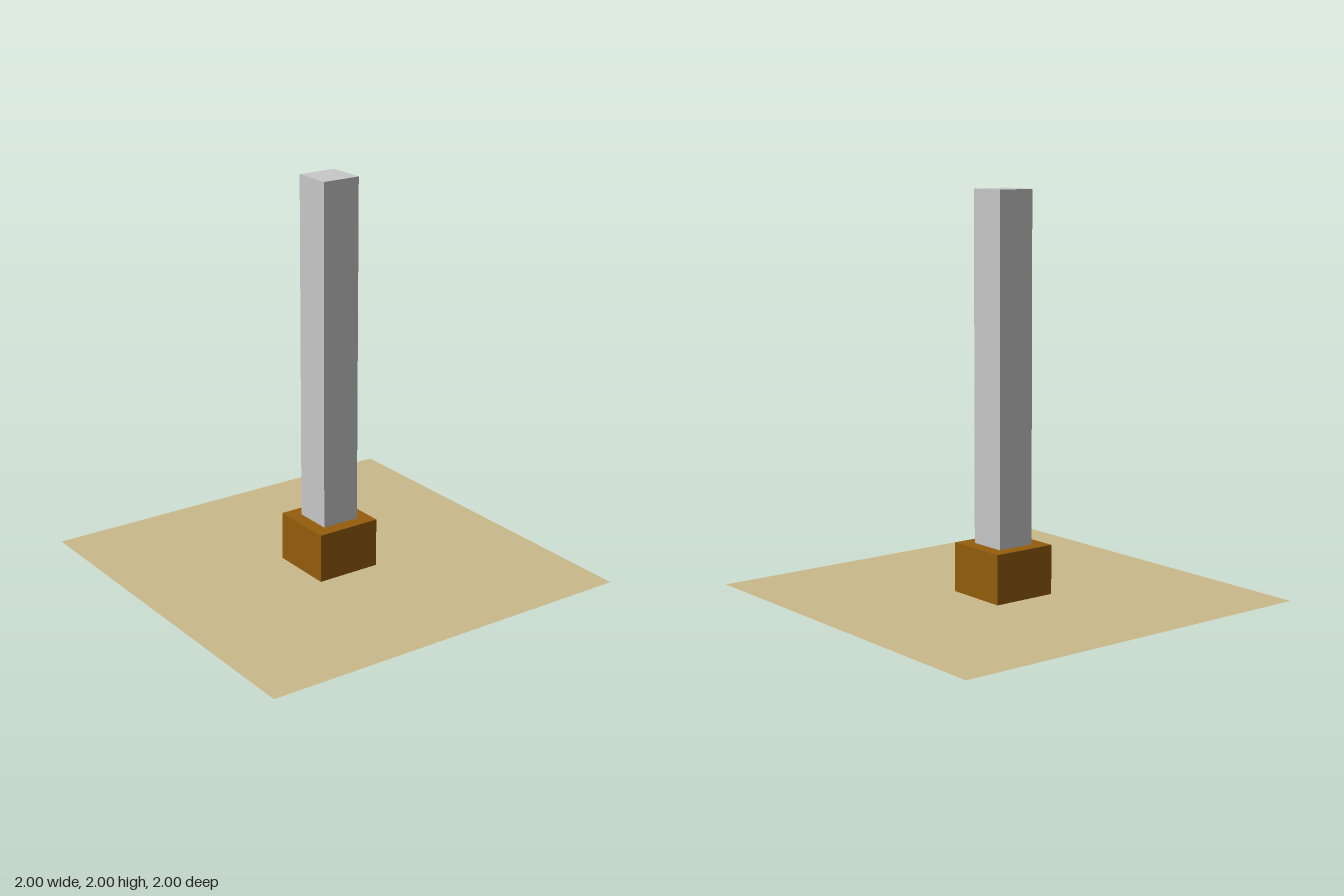
import * as THREE from 'three';

const SLAB = 1, BASE = 0.17, POST = 0.1; // half widths
const BASE_TOP = 0.25, POST_TOP = 2;

function material(name, color) {
  const m = new THREE.MeshStandardMaterial({ color, side: THREE.DoubleSide });
  m.name = name;
  return m;
}

// Flat horizontal square, optionally with a square hole
function squareSheet(half, hole, y) {
  const corners = h => [[-h, -h], [h, -h], [h, h], [-h, h]].map(([x, z]) => new THREE.Vector2(x, z));
  const shape = new THREE.Shape(corners(half));
  if (hole) shape.holes.push(new THREE.Path(corners(hole).reverse()));
  return new THREE.ShapeGeometry(shape).rotateX(-Math.PI / 2).translate(0, y, 0);
}

// Four upright walls, open at both ends
function squareWalls(half, y0, y1) {
  const r = half * Math.SQRT2;
  const g = new THREE.CylinderGeometry(r, r, y1 - y0, 4, 1, true)
    .rotateY(Math.PI / 4).translate(0, (y0 + y1) / 2, 0).toNonIndexed();
  g.computeVertexNormals();
  return g;
}

export function createModel() {
  const model = new THREE.Group();
  model.name = 'postOnBase';
  const sand = material('sand', 0xcab98c);
  const brown = material('brown', 0x945d0c);
  const grey = material('lightGrey', 0xc8c8c8);

  const add = (name, geometry, mat) => {
    const mesh = new THREE.Mesh(geometry, mat);
    mesh.name = name;
    model.add(mesh);
  };

  // One continuous hollow shell: ground, stepped base, post
  add('ground', squareSheet(SLAB, BASE, 0), sand);
  add('baseWalls', squareWalls(BASE, 0, BASE_TOP), brown);
  add('baseTop', squareSheet(BASE, POST, BASE_TOP), brown);
  add('postWalls', squareWalls(POST, BASE_TOP, POST_TOP), grey);
  add('postTop', squareSheet(POST, 0, POST_TOP), grey);
  return model;
}
